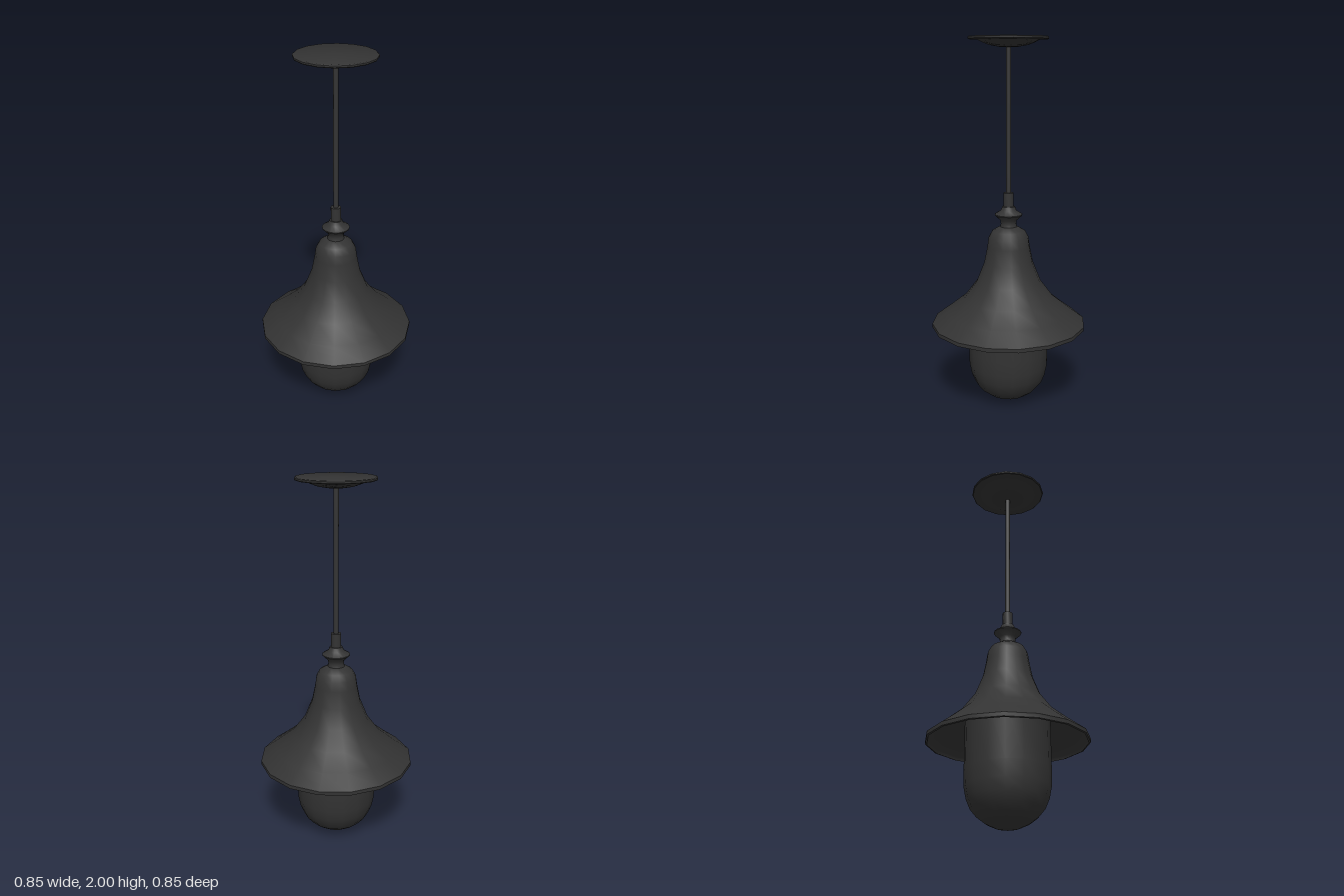
import * as THREE from 'three';
import { toCreasedNormals } from 'three/addons/utils/BufferGeometryUtils.js';

const SIDES = 16;
const material = new THREE.MeshStandardMaterial({ color: 0x333333 });

// Revolve a [radius, height] profile, listed bottom to top on outer faces
function turned(name, profile, sides = SIDES) {
  const points = profile.map(([r, y]) => new THREE.Vector2(r, y));
  const geometry = toCreasedNormals(new THREE.LatheGeometry(points, sides), 0.75);
  const mesh = new THREE.Mesh(geometry, material);
  mesh.name = name;
  return mesh;
}

export function createModel() {
  const lamp = new THREE.Group();
  lamp.name = 'pendantLamp';

  // Round-bottomed globe reaching up inside the shade
  lamp.add(turned('globe', [
    [0, 0], [0.06, 0.012], [0.112, 0.035], [0.155, 0.067], [0.187, 0.105],
    [0.208, 0.155], [0.22, 0.215], [0.222, 0.3], [0.222, 0.57], [0, 0.57],
  ]));

  // Flared bell shade: inner wall down to the rim, then outer wall up
  lamp.add(turned('shade', [
    [0, 0.96], [0.08, 0.95], [0.1, 0.9], [0.115, 0.8], [0.16, 0.685],
    [0.225, 0.595], [0.325, 0.515], [0.41, 0.455], [0.415, 0.437],
    [0.424, 0.44], [0.424, 0.46], [0.34, 0.523], [0.245, 0.6], [0.178, 0.69],
    [0.134, 0.8], [0.116, 0.89], [0.109, 0.94], [0.09, 0.975], [0.048, 1.0], [0, 1.0],
  ]));

  // Waisted collar with a pointed ring
  lamp.add(turned('collar', [
    [0.048, 0.995], [0.042, 1.015], [0.045, 1.035], [0.075, 1.063],
    [0.075, 1.068], [0.043, 1.088], [0.034, 1.11], [0, 1.11],
  ]));

  // Ferrule gripping the rod
  lamp.add(turned('ferrule', [[0, 1.1], [0.027, 1.1], [0.027, 1.185], [0, 1.185]]));

  // Hanging rod
  lamp.add(turned('rod', [[0.0135, 1.17], [0.0135, 1.96]]));

  // Ceiling plate with a shallow dome below
  lamp.add(turned('ceilingPlate', [
    [0, 1.944], [0.05, 1.946], [0.1, 1.955], [0.135, 1.968], [0.165, 1.984],
    [0.207, 1.984], [0.211, 1.988], [0.211, 1.996], [0.206, 2.0], [0, 2.0],
  ]));

  return lamp;
}
